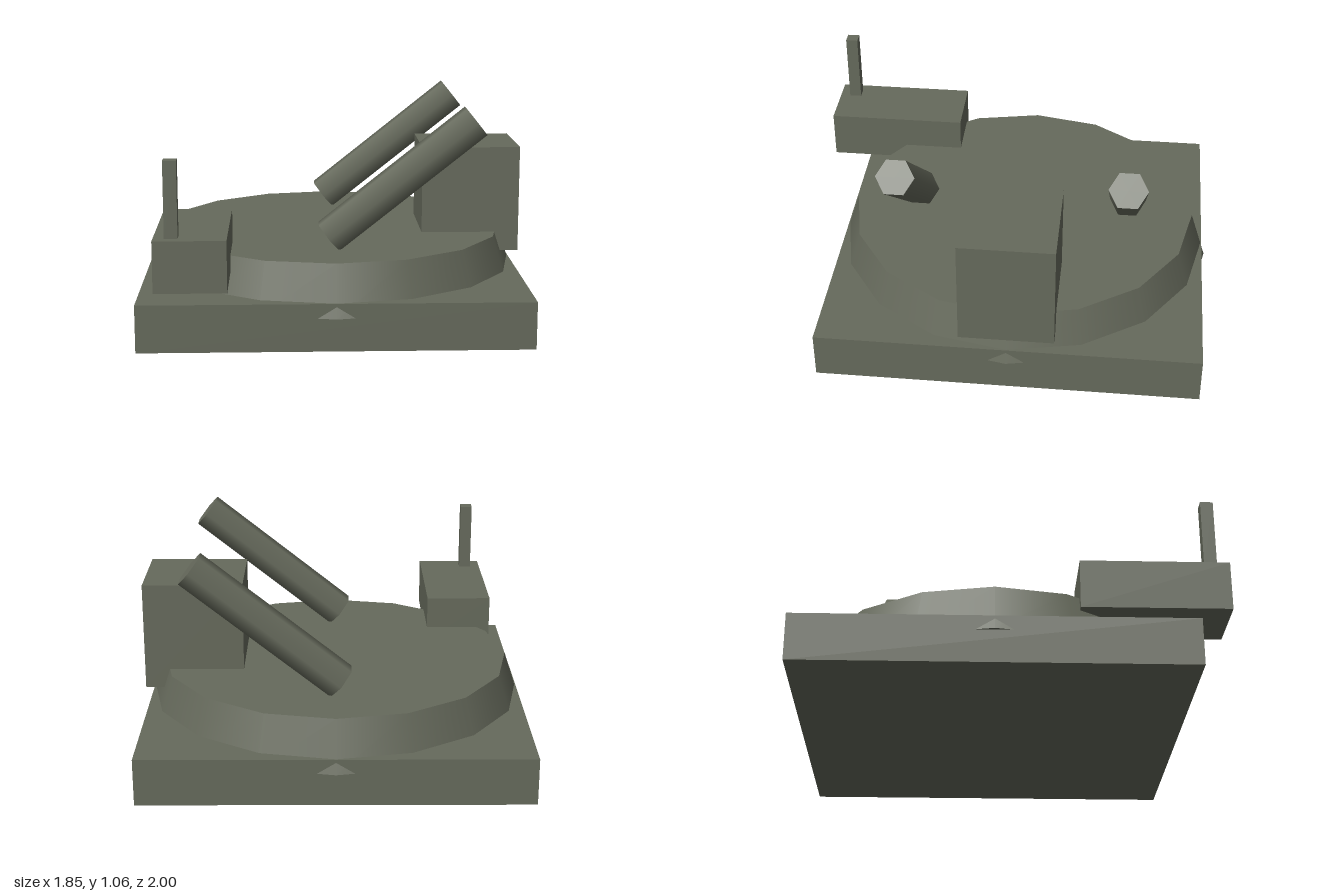
import * as THREE from 'three';

export function createModel() {
  const model = new THREE.Group();
  const olive = new THREE.MeshStandardMaterial({ color: 0x666a5c });
  olive.name = 'olive grey';
  const centreZ = -0.07;

  const add = (name, geometry, x, y, z) => {
    const mesh = new THREE.Mesh(geometry, olive);
    mesh.name = name;
    mesh.position.set(x, y, z);
    model.add(mesh);
    return mesh;
  };
  // box given by its lower and upper limits on each axis
  const box = (name, [x0, x1], [y0, y1], [z0, z1]) =>
    add(name, new THREE.BoxGeometry(x1 - x0, y1 - y0, z1 - z0),
      (x0 + x1) / 2, (y0 + y1) / 2, (z0 + z1) / 2);

  // square plinth with a tapered sixteen-sided drum sunk into it
  box('base', [-0.91, 0.91], [0, 0.223], [-0.98, 0.84]);
  add('turntable', new THREE.CylinderGeometry(0.85, 0.927, 0.24, 16), 0, 0.275, centreZ);

  // large box on the left edge
  box('sideBox', [0.445, 0.925], [0.3, 0.82], [-0.295, 0.15]);

  // control box with an upright post at the front right corner
  box('controlBox', [-0.81, -0.485], [0.32, 0.555], [0.315, 1]);
  box('post', [-0.76, -0.7], [0.555, 0.9], [0.89, 0.95]);

  // pair of slanted hexagonal tubes
  for (const side of [1, -1]) {
    const tube = add(side > 0 ? 'frontTube' : 'rearTube',
      new THREE.CylinderGeometry(0.09, 0.09, 0.88, 6), 0.32, 0.722, centreZ + side * 0.525);
    tube.rotation.z = -THREE.MathUtils.degToRad(51.5);
  }
  return model;
}
